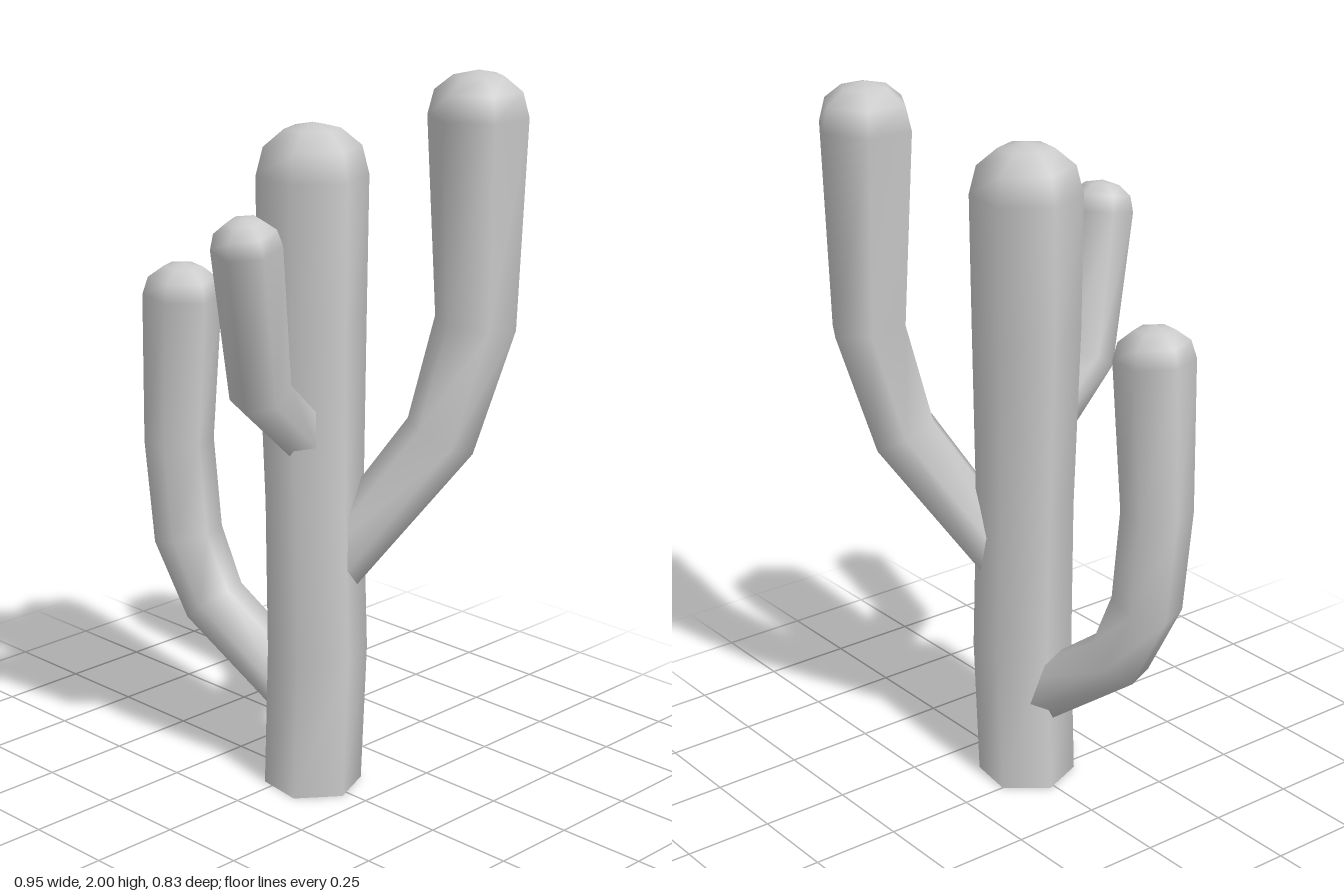
import * as THREE from 'three';

const SIDES = 6;
const UP = new THREE.Vector3(0, 1, 0);

// Six-sided limb: rows of [x, y, z, radius], a rounded tip and a flat base.
function limb(name, rows, phase, tipHeight, material) {
  const centres = rows.map(([x, y, z]) => new THREE.Vector3(x, y, z));
  const last = rows.length - 1;
  const positions = [];
  const index = [];

  const addRing = (centre, direction, radius) => {
    const turn = new THREE.Quaternion().setFromUnitVectors(UP, direction);
    for (let i = 0; i < SIDES; i++) {
      const a = THREE.MathUtils.degToRad(phase) + (i / SIDES) * Math.PI * 2;
      const p = new THREE.Vector3(Math.cos(a) * radius, 0, Math.sin(a) * radius);
      positions.push(...p.applyQuaternion(turn).add(centre).toArray());
    }
  };
  const segment = (i) => centres[i + 1].clone().sub(centres[i]).normalize();

  // Stem rings, each mitred between its neighbouring segments
  centres.forEach((c, i) => {
    const d = segment(Math.max(i - 1, 0)).add(segment(Math.min(i, last - 1))).normalize();
    addRing(c, c.y === 0 ? UP : d, rows[i][3]);
  });

  // Rounded tip
  const tipDir = segment(last - 1);
  const tipAt = (h) => centres[last].clone().addScaledVector(tipDir, h * tipHeight);
  for (const [h, r] of [[0.55, 0.87], [0.88, 0.5]]) addRing(tipAt(h), tipDir, rows[last][3] * r);
  const rings = rows.length + 2;
  const pole = rings * SIDES;
  positions.push(...tipAt(1).toArray());

  // Side and tip faces
  for (let k = 0; k < rings; k++) {
    for (let i = 0; i < SIDES; i++) {
      const a = k * SIDES + i;
      const b = k * SIDES + ((i + 1) % SIDES);
      if (k === rings - 1) index.push(a, pole, b);
      else index.push(a, a + SIDES, b, b, a + SIDES, b + SIDES);
    }
  }

  // Base face with its own vertices, so the rim stays sharp
  const base = pole + 1;
  positions.push(...positions.slice(0, SIDES * 3), ...centres[0].toArray());
  for (let i = 0; i < SIDES; i++) index.push(base + SIDES, base + i, base + ((i + 1) % SIDES));

  const geometry = new THREE.BufferGeometry();
  geometry.setAttribute('position', new THREE.Float32BufferAttribute(positions, 3));
  geometry.setIndex(index);
  geometry.computeVertexNormals();
  const mesh = new THREE.Mesh(geometry, material);
  mesh.name = name;
  return mesh;
}

export function createModel() {
  const group = new THREE.Group();
  group.name = 'cactus';
  const material = new THREE.MeshStandardMaterial({ color: 0xcccccc });

  group.add(
    limb('trunk', [
      [0.05, 0, 0.005, 0.136],
      [0.062, 0.4, 0, 0.138],
      [0.05, 0.83, 0, 0.134],
      [0.036, 1.35, -0.004, 0.146],
      [0.035, 1.72, -0.005, 0.15],
    ], 8, 0.14, material),

    limb('rightArm', [
      [0.02, 0.25, 0.015, 0.085],
      [-0.275, 0.47, 0.075, 0.09],
      [-0.355, 0.655, 0.098, 0.097],
      [-0.38, 0.93, 0.105, 0.097],
      [-0.358, 1.35, 0.105, 0.109],
    ], 8, 0.09, material),

    limb('leftArm', [
      [0.1, 0.65, -0.02, 0.085],
      [0.305, 1.02, -0.22, 0.1],
      [0.36, 1.33, -0.29, 0.11],
      [0.357, 1.88, -0.286, 0.134],
    ], 30, 0.12, material),

    limb('frontArm', [
      [0.065, 1.04, 0.07, 0.075],
      [0.1, 1.195, 0.25, 0.083],
      [0.132, 1.595, 0.326, 0.092],
    ], 16, 0.08, material),
  );
  return group;
}
